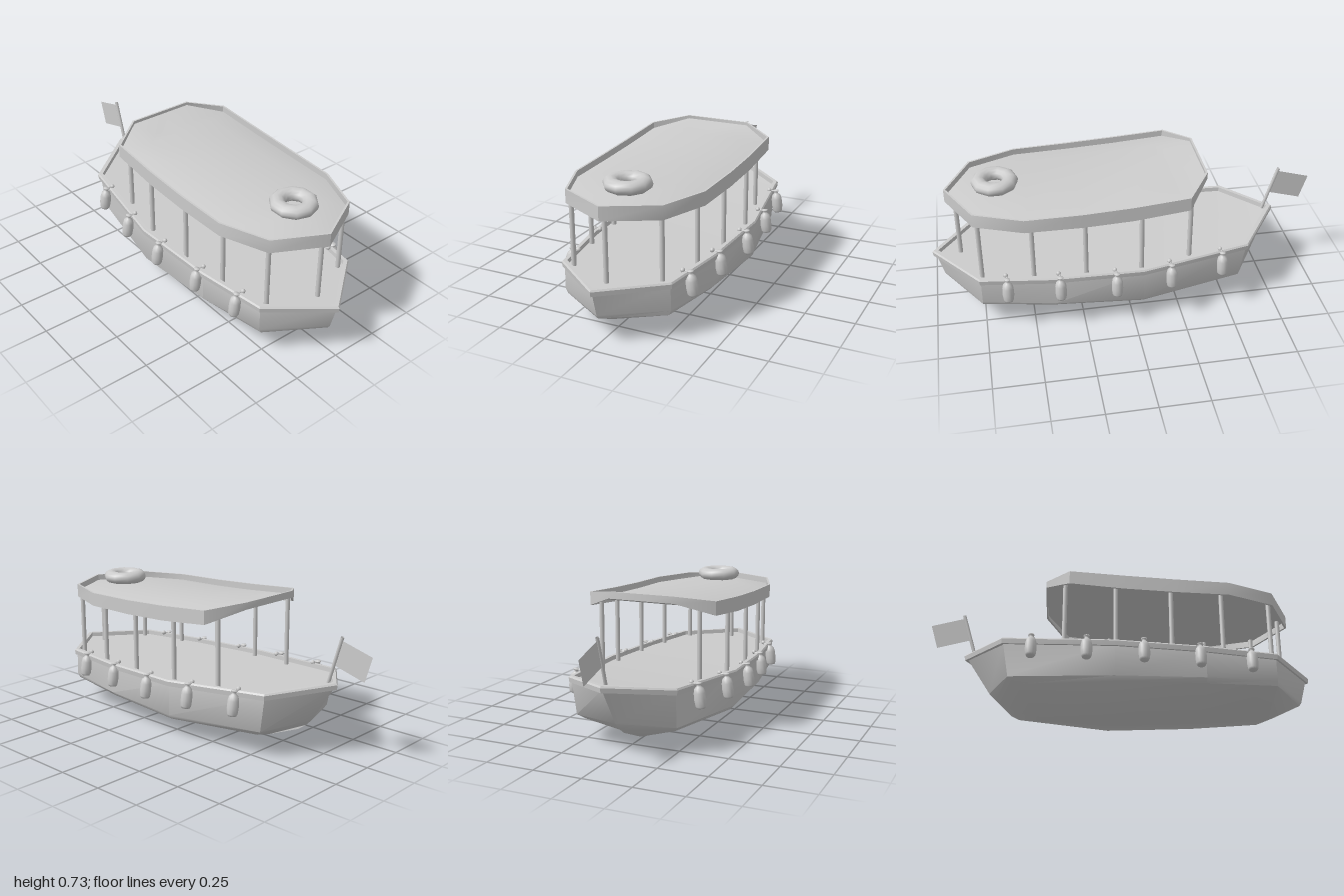
import * as THREE from 'three';
import { toCreasedNormals } from 'three/addons/utils/BufferGeometryUtils.js';

const grey = new THREE.MeshStandardMaterial({ color: 0xcccccc });
const thin = new THREE.MeshStandardMaterial({ color: 0xcccccc, side: THREE.DoubleSide });
const V = (x, y, z) => new THREE.Vector3(x, y, z);

function add(parent, name, geometry, material = grey) {
  const mesh = new THREE.Mesh(geometry, material);
  mesh.name = name;
  parent.add(mesh);
  return mesh;
}

// Half outline from stern to bow, mirrored into a closed loop
function closedLoop(half) {
  const side = half.map(p => V(...p));
  const mirror = side.slice(1, -1).reverse().map(p => V(p.x, p.y, -p.z));
  return [...side, ...mirror];
}

// Move a loop outwards (d > 0) or inwards in plan, and up by dy
function offset(loop, d, dy = 0) {
  const n = loop.length;
  const normal = i => {
    const a = loop[i % n], b = loop[(i + 1) % n];
    return V(a.z - b.z, 0, b.x - a.x).normalize();
  };
  return loop.map((p, i) => {
    const n1 = normal((i + n - 1) % n), n2 = normal(i);
    const miter = n1.clone().add(n2).multiplyScalar(d / (1 + n1.dot(n2)));
    return p.clone().add(miter).add(V(0, dy, 0));
  });
}

// Skin a list of loops
function loft(rows, crease = 0.5) {
  const n = rows[0].length, index = [];
  for (let i = 0; i < rows.length - 1; i++) {
    for (let j = 0; j < n; j++) {
      const k = (j + 1) % n;
      const a = i * n + j, b = i * n + k, c = b + n, d = a + n;
      index.push(a, b, c, a, c, d);
    }
  }
  const g = new THREE.BufferGeometry();
  g.setAttribute('position', new THREE.Float32BufferAttribute(rows.flat().flatMap(p => p.toArray()), 3));
  g.setIndex(index);
  return toCreasedNormals(g, crease);
}

// Collapse a loop onto the centre line
const centreLine = loop => loop.map(p => V(p.x, p.y, 0));

// Linear interpolation through [x, value] pairs
function lerpTable(table, x) {
  for (let i = 1; i < table.length; i++) {
    const [x0, a] = table[i - 1], [x1, b] = table[i];
    if (x <= x1) return a + (b - a) * (x - x0) / (x1 - x0);
  }
  return table[table.length - 1][1];
}

const sheer = [[-0.82, 0.375], [-0.6, 0.34], [-0.05, 0.307], [0.4, 0.297], [0.76, 0.292], [0.99, 0.292]];
const roofTop = [[-0.4, 0.725], [-0.28, 0.695], [0, 0.675], [0.25, 0.663], [0.53, 0.657], [0.9, 0.655]];
const roofBottom = [[-0.4, 0.69], [-0.28, 0.625], [0, 0.6], [0.25, 0.59], [0.9, 0.585]];
const deckY = x => lerpTable(sheer, x) - 0.022;
// Height on the canopy fascia: t = 0 at its lower edge, 1 at its upper edge
const fasciaY = (x, t) => THREE.MathUtils.lerp(lerpTable(roofBottom, x), lerpTable(roofTop, x), t);

function addHull(boat) {
  const keel = closedLoop([[-0.59, 0.085, 0], [-0.41, 0.01, 0], [-0.08, 0, 0], [0.4, 0.025, 0], [0.76, 0.045, 0], [0.8, 0.062, 0]]);
  const lowChine = closedLoop([[-0.64, 0.12, 0], [-0.53, 0.108, 0.24], [-0.05, 0.096, 0.34], [0.4, 0.108, 0.315], [0.76, 0.123, 0.268], [0.935, 0.13, 0]]);
  const chine = closedLoop([[-0.675, 0.155, 0], [-0.57, 0.138, 0.267], [-0.05, 0.118, 0.358], [0.4, 0.13, 0.335], [0.76, 0.147, 0.28], [0.946, 0.148, 0]]);
  const edge = closedLoop([[-0.8, 0], [-0.6, 0.275], [-0.05, 0.356], [0.4, 0.332], [0.76, 0.278], [0.978, 0]]
    .map(([x, z]) => [x, deckY(x), z]));
  add(boat, 'hull', loft([keel, lowChine, chine, edge], 0.75));

  // Deck closes the hull towards its centre line
  add(boat, 'deck', loft([edge, centreLine(edge)]));

  // Rubbing rail swept around the deck edge
  const bottomOut = offset(edge, 0.01, -0.01);
  add(boat, 'rail', loft([
    bottomOut, offset(edge, 0.013, 0.014), offset(edge, 0.007, 0.022),
    offset(edge, -0.012, 0.022), offset(edge, -0.014, -0.01), bottomOut,
  ]));
}

function addCanopy(boat) {
  const plan = [[-0.4, 0], [-0.4, 0.175], [-0.28, 0.343], [0, 0.35], [0.25, 0.35], [0.53, 0.343],
    [0.77, 0.25], [0.9, 0]];
  const level = t => closedLoop(plan.map(([x, z]) => [x, fasciaY(x, t), z]));
  const ceiling = offset(level(0.5), -0.01);
  // Raised middle of the roof, set well inside the fascia
  const crown = offset(level(1), -0.145).map(p => V(p.x, fasciaY(p.x, 0.97), p.z));
  add(boat, 'canopy', loft([
    centreLine(ceiling), ceiling, offset(level(0), -0.01),
    level(0), level(1), offset(level(1), -0.01),
    offset(level(0.55), -0.01), crown, centreLine(crown),
  ], 0.8));

  // Posts from deck to canopy
  const post = (x, z) => {
    const y0 = deckY(x) - 0.01, y1 = fasciaY(x, 0.5);
    add(boat, 'canopyPost', new THREE.CylinderGeometry(0.012, 0.012, y1 - y0, 10))
      .position.set(x, (y0 + y1) / 2, z);
  };
  for (const [x, z] of [[-0.3, 0.267], [-0.045, 0.313], [0.235, 0.31], [0.495, 0.288], [0.75, 0.233]]) {
    post(x, z);
    post(x, -z);
  }
  post(0.85, 0);

  // Life ring lying on the roof
  const ring = add(boat, 'lifeRing', new THREE.TorusGeometry(0.079, 0.039, 12, 10).rotateX(Math.PI / 2));
  ring.scale.y = 0.84;
  ring.position.set(0.645, 0.684, -0.008);
}

function addFenders(boat) {
  const profile = [[0, -0.112], [0.02, -0.11], [0.026, -0.1], [0.029, -0.07], [0.028, -0.035],
    [0.023, -0.014], [0.012, -0.004], [0.009, 0.005], [0.015, 0.008], [0.015, 0.014], [0, 0.017]]
    .map(p => new THREE.Vector2(...p));
  const body = new THREE.LatheGeometry(profile, 12);
  for (const side of [1, -1]) {
    for (const [x, z] of [[-0.46, 0.336], [-0.19, 0.372], [0.09, 0.382], [0.37, 0.355], [0.63, 0.322]]) {
      const fender = new THREE.Group();
      fender.name = 'fender';
      fender.position.set(x, deckY(x) + 0.014, side * (z - 0.006));
      add(fender, 'fenderBody', body).rotation.x = -side * 0.13;
      // Line to a small cleat on the rail
      const line = add(fender, 'fenderLine', new THREE.CylinderGeometry(0.005, 0.005, 0.04, 6).rotateX(Math.PI / 2));
      line.position.set(0, 0.008, -side * 0.02);
      add(fender, 'cleat', new THREE.SphereGeometry(0.012, 8, 6)).position.set(0.005, 0.012, -side * 0.038);
      boat.add(fender);
    }
  }
}

function addFlag(boat) {
  const pole = new THREE.LineCurve3(V(-0.76, 0.36, 0), V(-0.832, 0.6, 0));
  add(boat, 'flagPole', new THREE.TubeGeometry(pole, 1, 0.009, 8), thin);
  const cloth = new THREE.Shape([[-0.825, 0.585], [-1, 0.535], [-0.962, 0.408], [-0.787, 0.458]]
    .map(p => new THREE.Vector2(...p)));
  add(boat, 'flag', new THREE.ShapeGeometry(cloth), thin);
}

export function createModel() {
  const boat = new THREE.Group();
  boat.name = 'tourBoat';
  addHull(boat);
  addCanopy(boat);
  addFenders(boat);
  addFlag(boat);
  return boat;
}
